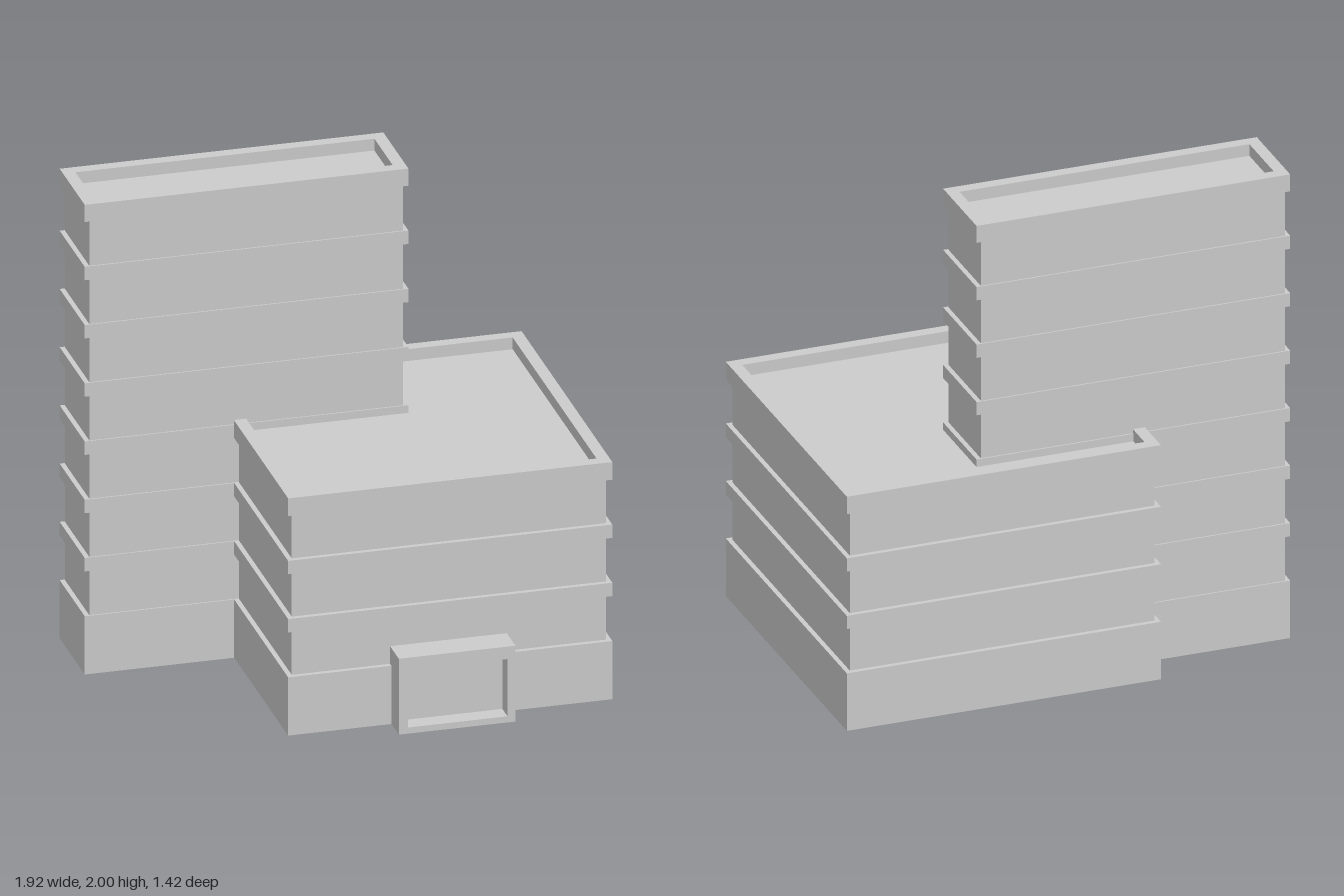
import * as THREE from 'three';

const material = new THREE.MeshStandardMaterial({ color: 0xcccccc, flatShading: true });

// Box given by its minimum and maximum corners
function box(name, [x0, y0, z0], [x1, y1, z1]) {
  const mesh = new THREE.Mesh(new THREE.BoxGeometry(x1 - x0, y1 - y0, z1 - z0), material);
  mesh.name = name;
  mesh.position.set((x0 + x1) / 2, (y0 + y1) / 2, (z0 + z1) / 2);
  return mesh;
}

const rectangle = (x0, y0, x1, y1) =>
  [[x0, y0], [x1, y0], [x1, y1], [x0, y1]].map(([x, y]) => new THREE.Vector2(x, y));

// Rectangular ring in the xy plane, extruded along +z
function ring(name, outer, inner, depth) {
  const shape = new THREE.Shape(rectangle(...outer));
  shape.holes.push(new THREE.Path(rectangle(...inner)));
  const mesh = new THREE.Mesh(new THREE.ExtrudeGeometry(shape, { depth, bevelEnabled: false }), material);
  mesh.name = name;
  return mesh;
}

// Storeyed volume: walls, ground floor, floor bands and a raised parapet
function building(name, { x0, x1, z0, z1, insetX, insetZ, floors, top }) {
  const group = new THREE.Group();
  group.name = name;
  const rim = 0.05;
  group.add(box('walls', [x0 + insetX, 0, z0 + insetZ], [x1 - insetX, top - 0.05, z1 - insetZ]));
  group.add(box('groundFloor', [x0, 0, z0], [x1, 0.248, z1]));
  for (let i = 2; i < floors; i++) {
    const y = i * 0.248;
    group.add(box('floorBand', [x0, y - 0.057, z0], [x1, y, z1]));
  }
  const base = floors * 0.248 - 0.057;
  const parapet = ring('parapet', [x0, -z1, x1, -z0],
    [x0 + rim, -z1 + rim, x1 - rim, -z0 - rim], top - base);
  parapet.rotation.x = -Math.PI / 2;
  parapet.position.y = base;
  group.add(parapet);
  return group;
}

export function createModel() {
  const model = new THREE.Group();
  model.name = 'officeBuilding';

  model.add(building('lowBlock', {
    x0: -0.355, x1: 0.957, z0: -0.712, z1: 0.605,
    insetX: 0.02, insetZ: 0.02, floors: 4, top: 1.01,
  }));
  model.add(building('tower', {
    x0: -0.96, x1: 0.35, z0: -0.542, z1: -0.178,
    insetX: 0.02, insetZ: 0.006, floors: 8, top: 2,
  }));

  // Entrance portal with a recessed door panel
  const entrance = new THREE.Group();
  entrance.name = 'entrance';
  const frame = ring('entranceFrame', [0.063, 0, 0.535, 0.323], [0.1, 0.026, 0.503, 0.27], 0.132);
  frame.position.z = 0.58;
  entrance.add(frame, box('doorPanel', [0.09, 0.015, 0.58], [0.515, 0.28, 0.637]));
  model.add(entrance);

  return model;
}
